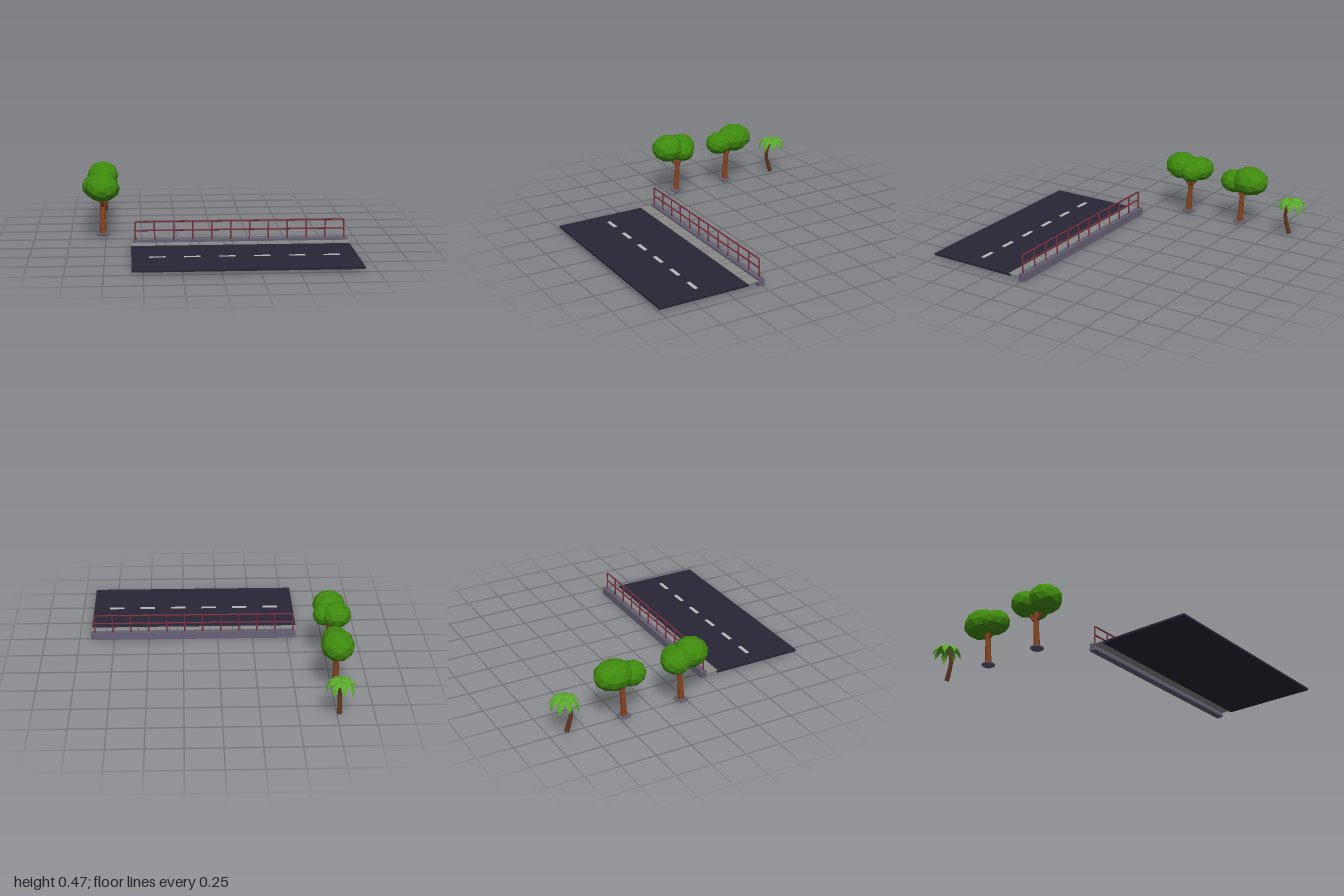
import * as THREE from 'three';

const mat = (color, extra = {}) => new THREE.MeshStandardMaterial({ color, flatShading: true, ...extra });
const M = {
  asphalt: mat(0x282535), paint: mat(0xb8b8b8), pavement: mat(0x888886), seam: mat(0x4a4a4c),
  concrete: mat(0x625d70), rail: mat(0x7a2f3d), bark: mat(0x85431f), palmBark: mat(0x5c3320),
  leaf: mat(0x3f8a0e), frond: mat(0x5aa82c, { side: THREE.DoubleSide }),
};

function add(parent, name, geometry, material, x = 0, y = 0, z = 0) {
  const mesh = new THREE.Mesh(geometry, material);
  mesh.name = name;
  mesh.position.set(x, y, z);
  parent.add(mesh);
  return mesh;
}

// Box given by its limits on each axis
function box(parent, name, material, [x0, x1], [y0, y1], [z0, z1]) {
  return add(parent, name, new THREE.BoxGeometry(x1 - x0, y1 - y0, z1 - z0), material,
    (x0 + x1) / 2, (y0 + y1) / 2, (z0 + z1) / 2);
}

function group(parent, name) {
  const g = new THREE.Group();
  g.name = name;
  parent.add(g);
  return g;
}

// Round trunk that follows a list of points and tapers from r0 to r1
function trunkGeometry(points, r0, r1, rings, sides) {
  const curve = new THREE.CatmullRomCurve3(points.map(p => new THREE.Vector3(...p)));
  const geo = new THREE.TubeGeometry(curve, rings, 1, sides);
  const pos = geo.attributes.position, v = new THREE.Vector3();
  for (let i = 0; i < pos.count; i++) {
    const t = Math.floor(i / (sides + 1)) / rings, c = curve.getPointAt(t);
    v.fromBufferAttribute(pos, i).sub(c).multiplyScalar(r0 + (r1 - r0) * t).add(c);
    pos.setXYZ(i, v.x, v.y, v.z);
  }
  geo.computeVertexNormals();
  return geo;
}

function buildRoad(root) {
  const road = group(root, 'road');
  box(road, 'asphalt', M.asphalt, [-0.573, 0.917], [0.018, 0.033], [0.35, 1]);
  for (let i = 0; i < 6; i++) {
    const x = -0.457 + i * 0.23;
    box(road, 'laneDash', M.paint, [x, x + 0.108], [0.032, 0.0355], [0.658, 0.684]);
  }
  // Thin pavement with pairs of seams
  box(road, 'pavement', M.pavement, [-0.573, 0.917], [0.032, 0.0365], [0.265, 0.355]);
  for (let i = 0; i < 6; i++) for (const dx of [0, 0.058]) {
    const x = -0.398 + i * 0.2295 + dx;
    box(road, 'pavementSeam', M.seam, [x - 0.0015, x + 0.0015], [0.036, 0.0368], [0.27, 0.35]);
  }
}

function buildBarrier(root) {
  const barrier = group(root, 'barrier');
  // Parapet with sloping sides, extruded along x
  const s = new THREE.Shape([[-0.278, 0], [-0.228, 0], [-0.235, 0.05], [-0.274, 0.05]]
    .map(p => new THREE.Vector2(...p)));
  const geo = new THREE.ExtrudeGeometry(s, { depth: 1.48, bevelEnabled: false });
  geo.rotateY(Math.PI / 2);
  add(barrier, 'parapet', geo, M.concrete, -0.563);

  // Outer frame with rounded corners, then posts and middle rail
  const z = 0.256, x0 = -0.543, x1 = 0.892, top = 0.18, c = 0.01, r = 0.0055;
  const V = (x, y) => new THREE.Vector3(x, y, z);
  const path = new THREE.CurvePath();
  path.add(new THREE.LineCurve3(V(x0, 0.045), V(x0, top - c)));
  path.add(new THREE.QuadraticBezierCurve3(V(x0, top - c), V(x0, top), V(x0 + c, top)));
  path.add(new THREE.LineCurve3(V(x0 + c, top), V(x1 - c, top)));
  path.add(new THREE.QuadraticBezierCurve3(V(x1 - c, top), V(x1, top), V(x1, top - c)));
  path.add(new THREE.LineCurve3(V(x1, top - c), V(x1, 0.045)));
  add(barrier, 'railFrame', new THREE.TubeGeometry(path, 300, r, 8), M.rail);
  const mid = add(barrier, 'middleRail', new THREE.CylinderGeometry(r, r, x1 - x0, 8), M.rail, (x0 + x1) / 2, 0.117, z);
  mid.rotation.z = Math.PI / 2;
  for (let i = 1; i < 11; i++) {
    add(barrier, 'post', new THREE.CylinderGeometry(0.005, 0.005, 0.135, 8), M.rail,
      x0 + (x1 - x0) * i / 11, 0.1125, z);
  }
}

// Leafy tree; each crown is [x, y, z, rx, ry, rz]
function buildTree(root, name, x, z, topZ, crowns) {
  const tree = group(root, name);
  const profile = [[0, 0.018], [0.038, 0.018], [0.047, 0.024], [0.047, 0.03], [0.042, 0.034], [0, 0.034]];
  add(tree, 'planter', new THREE.LatheGeometry(profile.map(p => new THREE.Vector2(...p)), 10), M.concrete, x, 0, z);
  add(tree, 'trunk', trunkGeometry([[x, 0.03, z], [x - 0.003, 0.13, z * 0.6 + topZ * 0.4], [x, 0.24, topZ], [x, 0.31, topZ]],
    0.023, 0.015, 8, 8), M.bark);
  // Branches reaching from the trunk into the crowns
  for (const [cx, cy, cz] of crowns) {
    add(tree, 'branch', trunkGeometry([[x, 0.22, topZ], [(x + cx) / 2, 0.265, (topZ + cz) / 2], [cx, cy, cz]],
      0.013, 0.008, 4, 6), M.bark);
  }
  crowns.forEach(([cx, cy, cz, rx, ry, rz], i) => {
    const geo = new THREE.IcosahedronGeometry(1, 1);
    geo.rotateY(i * 1.3);
    geo.scale(rx, ry, rz);
    add(tree, 'crown', geo, M.leaf, cx, cy, cz);
  });
}

// Drooping frond: a folded strip built from cross-sections along its length
function frondGeometry() {
  const n = 7, pos = [], idx = [];
  for (let i = 0; i <= n; i++) {
    const t = i / n;
    const r = 0.108 * Math.sin(t * 1.5), y = 0.012 * Math.sin(t * Math.PI) - 0.072 * t ** 2.4;
    const w = 0.004 + 0.019 * Math.sin(Math.PI * Math.min(1, t * 0.88 + 0.1)) * (i % 2 ? 1.1 : 0.9);
    const half = i === n ? 0.001 : w;
    pos.push(r, y - half * 0.5, -half, r, y, 0, r, y - half * 0.5, half);
  }
  for (let i = 0; i < n; i++) for (let k = 0; k < 2; k++) {
    const a = i * 3 + k, b = a + 1, c = a + 3, d = a + 4;
    idx.push(a, b, c, b, d, c);
  }
  const geo = new THREE.BufferGeometry();
  geo.setAttribute('position', new THREE.Float32BufferAttribute(pos, 3));
  geo.setIndex(idx);
  geo.computeVertexNormals();
  return geo;
}

function buildPalm(root) {
  const palm = group(root, 'palm'), x = -0.765;
  add(palm, 'palmTrunk', trunkGeometry([[x, 0.02, -0.887], [x, 0.08, -0.868], [x, 0.15, -0.852], [x, 0.21, -0.862], [x, 0.275, -0.898]],
    0.017, 0.010, 12, 8), M.palmBark);
  const geo = frondGeometry();
  for (let i = 0; i < 9; i++) {
    const f = add(palm, 'frond', geo, M.frond, x, 0.276, -0.898);
    f.rotation.y = i * Math.PI * 2 / 9 + 0.3;
    f.scale.set(0.95, i % 2 ? 1.1 : 0.9, 1);
  }
}

export function createModel() {
  const root = new THREE.Group();
  root.name = 'roadsideScene';
  buildRoad(root);
  buildBarrier(root);
  buildTree(root, 'nearTree', -0.768, -0.05, -0.064, [
    [-0.77, 0.37, 0.015, 0.117, 0.1, 0.12],
    [-0.81, 0.356, -0.117, 0.107, 0.088, 0.104],
    [-0.728, 0.345, -0.09, 0.08, 0.078, 0.08],
  ]);
  buildTree(root, 'farTree', -0.775, -0.481, -0.493, [
    [-0.775, 0.352, -0.555, 0.114, 0.104, 0.138],
    [-0.774, 0.33, -0.427, 0.093, 0.085, 0.104],
  ]);
  buildPalm(root);
  return root;
}
